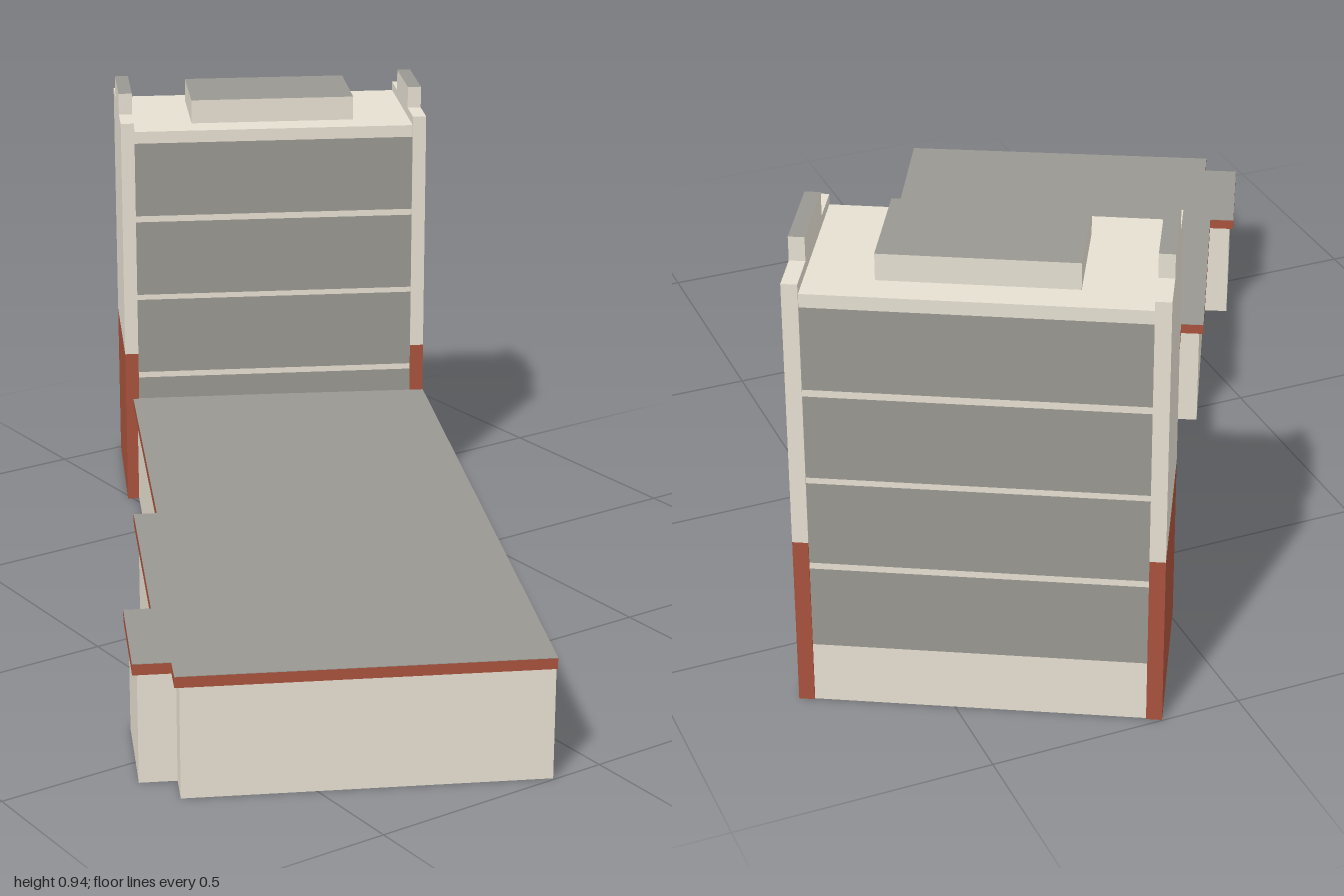
import * as THREE from 'three';

export function createModel() {
  const mat = (name, color) => {
    const m = new THREE.MeshStandardMaterial({ color });
    m.name = name;
    return m;
  };
  const cream = mat('cream wall', 0xe6dfd1);
  const red = mat('red brick', 0xa8523c);
  const grey = mat('grey roof and glazing', 0x999791);

  const model = new THREE.Group();
  model.name = 'building';
  // the wing and the tower stand at slightly different angles to the axes
  const part = (name, degrees, x, z) => {
    const group = new THREE.Group();
    group.name = name;
    group.rotation.y = THREE.MathUtils.degToRad(degrees);
    group.position.set(x, 0, z);
    model.add(group);
    return group;
  };
  const wing = part('lowWing', -27.5, 0, 0);
  const tower = part('tower', -28.4, 0.376, -0.68);

  const add = (parent, name, geometry, material) => {
    const mesh = new THREE.Mesh(geometry, material);
    mesh.name = name;
    parent.add(mesh);
    return mesh;
  };

  // wing footprint with stepped left side; inset pulls the walls under the eaves
  const footprint = (inset) => new THREE.Shape([
    [0.367 - inset * 0.3, 0.933], [0.361 - inset * 0.7, -0.594],
    [-0.31 + inset, -0.612], [-0.31 + inset, 0.12 + inset],
    [-0.358 + inset, 0.12 + inset], [-0.358 + inset, 0.616 + inset],
    [-0.411 + inset, 0.616 + inset], [-0.411 + inset, 0.869 - inset],
    [-0.339 + inset, 0.869 - inset], [-0.339 + inset, 0.933],
  ].map(([x, z]) => new THREE.Vector2(x, -z)));
  const storey = (name, inset, y0, y1, material) => {
    const g = new THREE.ExtrudeGeometry(footprint(inset), { depth: y1 - y0, bevelEnabled: false });
    g.rotateX(-Math.PI / 2);
    g.translate(0, y0, 0);
    add(wing, name, g, material);
  };
  storey('wingWalls', 0.009, 0, 0.222, cream);
  storey('wingFascia', 0, 0.222, 0.2435, red);
  storey('wingRoof', 0, 0.2435, 0.2445, grey);

  // tower core: one block whose rows alternate between wall and glazing
  const levels = [0.873, 0.846, 0.678, 0.664, 0.493, 0.481, 0.308, 0.295, 0.125, 0];
  const rows = levels.length - 1;
  const halfWidth = 0.3435, halfDepth = 0.1765, wall = 0.03;
  const core = new THREE.BoxGeometry(
    2 * (halfWidth - wall), rows, 2 * (halfDepth - 0.003), 1, rows, 1);
  const pos = core.attributes.position;
  for (let i = 0; i < pos.count; i++) {
    pos.setY(i, levels[Math.round(rows / 2 - pos.getY(i))]);
  }
  const [px, nx, py, ny, pz, nz] = core.groups;
  core.clearGroups();
  for (const g of [px, nx, py, ny]) core.addGroup(g.start, g.count, 0);
  for (const g of [pz, nz]) {
    for (let r = 0; r < rows; r++) core.addGroup(g.start + r * 6, 6, r % 2);
  }
  add(tower, 'towerCore', core, [cream, grey]);

  // box standing on y0, centred on x and z
  const box = (name, x, z, width, depth, y0, y1, material) => {
    const mesh = add(tower, name, new THREE.BoxGeometry(width, y1 - y0, depth), material);
    mesh.position.set(x, (y0 + y1) / 2, z);
  };
  const greyTop = [cream, cream, grey, cream, cream, cream];
  const creamBottom = [red, red, red, cream, red, red];

  // rooftop plant room
  box('plantRoom', 0.003, -0.002, 0.367, 0.216, 0.873, 0.926, greyTop);

  // end walls: red base, cream upper part, raised middle parapet
  for (const [side, sign] of [['left', 1], ['right', -1]]) {
    const x = sign * (halfWidth - wall / 2);
    box(side + 'EndWallBase', x, 0, wall, 2 * halfDepth, 0, 0.353, creamBottom);
    box(side + 'EndWall', x, 0, wall, 2 * halfDepth, 0.353, 0.893, cream);
    box(side + 'Parapet', x, 0, wall, 0.178, 0.893, 0.941, greyTop);
  }
  return model;
}
